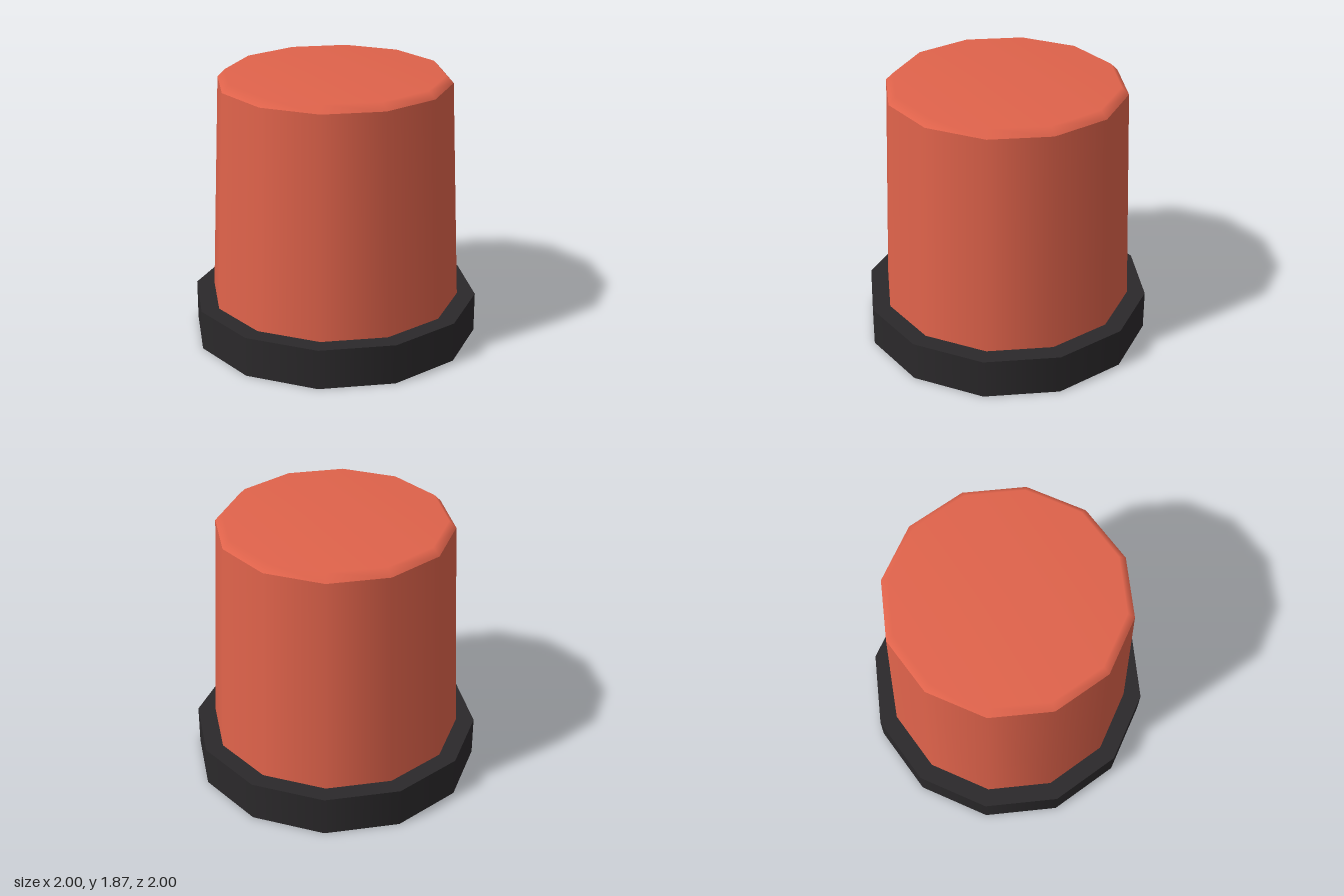
import * as THREE from 'three';

const SIDES = 12;

// Revolve a [radius, height] profile (listed from bottom to top on the outside).
function lathe(points) {
  return new THREE.LatheGeometry(points.map(([r, y]) => new THREE.Vector2(r, y)), SIDES);
}

// Narrow the lens very slightly in x towards its top.
function narrowTop(geometry) {
  const p = geometry.attributes.position;
  for (let i = 0; i < p.count; i++) {
    const t = THREE.MathUtils.clamp((p.getY(i) - 0.28) / 1.54, 0, 1);
    p.setX(i, p.getX(i) * (1 - 0.02 * t));
  }
  return geometry;
}

export function createModel() {
  const model = new THREE.Group();
  const red = new THREE.MeshStandardMaterial({ color: 0xe0634b, side: THREE.DoubleSide });
  const dark = new THREE.MeshStandardMaterial({ color: 0x2b292b, side: THREE.DoubleSide });
  const silver = new THREE.MeshStandardMaterial({ color: 0xdad2d9, side: THREE.DoubleSide });

  const add = (parent, name, geometry, material) => {
    const mesh = new THREE.Mesh(geometry, material);
    mesh.name = name;
    parent.add(mesh);
  };

  // Hollow base: an open skirt under a flat plate with a central hole
  const base = new THREE.Group();
  base.name = 'base';
  add(base, 'baseSkirt', lathe([[1, 0], [1, 0.28]]), dark);
  add(base, 'basePlate', lathe([[1, 0.28], [0.35, 0.28]]), dark);

  // Tapered lens, with a bevelled cap that shades softly into its top
  const lens = new THREE.Group();
  lens.name = 'lens';
  add(lens, 'lensWall', narrowTop(lathe([[0.873, 0.28], [0.82, 1.82]])), red);
  add(lens, 'lensCap', narrowTop(lathe([[0.82, 1.82], [0.77, 1.87], [0, 1.87]])), red);

  // Lamp socket seen through the hole: a closed cup around a shorter inner tube
  const socket = new THREE.Group();
  socket.name = 'lampSocket';
  add(socket, 'socketCup', lathe([[0.35, 0.28], [0.35, 0.55]]), silver);
  add(socket, 'socketCupTop', lathe([[0.35, 0.55], [0, 0.55]]), silver);
  add(socket, 'socketTube', lathe([[0.2, 0.24], [0.2, 0.55]]), silver);
  add(socket, 'socketTubeRim', lathe([[0.16, 0.24], [0.2, 0.24]]), silver);
  add(socket, 'socketTubeInside', lathe([[0.16, 0.24], [0.16, 0.55]]), silver);

  model.add(base, lens, socket);
  return model;
}
